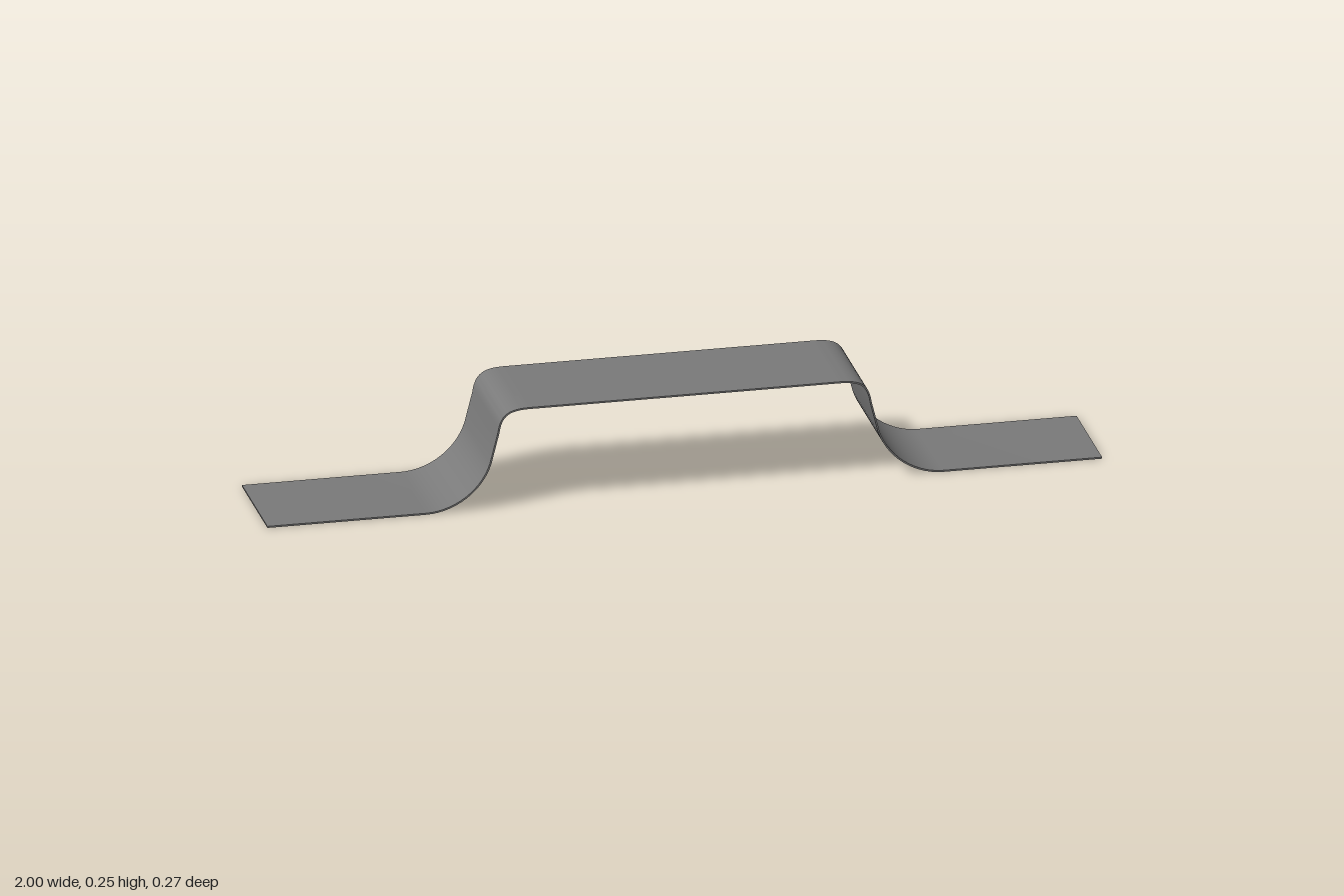
import * as THREE from 'three';
import { toCreasedNormals } from 'three/addons/utils/BufferGeometryUtils.js';

const DEPTH = 0.27;
const THICKNESS = 0.004;

// Points of a polyline shifted sideways by a distance
function offset(points, distance) {
  return points.map((p, i) => {
    const before = points[Math.max(i - 1, 0)];
    const after = points[Math.min(i + 1, points.length - 1)];
    const along = after.clone().sub(before).normalize();
    return new THREE.Vector2(p.x - along.y * distance, p.y + along.x * distance);
  });
}

export function createModel() {
  const group = new THREE.Group();
  group.name = 'strapBracket';

  // Right half of the centre line: crown, shoulder, web, foot fillet, foot
  const crownY = 0.248 - THICKNESS / 2;
  const footY = THICKNESS / 2;
  const half = new THREE.Path();
  half.moveTo(0, crownY);
  half.lineTo(0.37, crownY);
  half.bezierCurveTo(0.42, crownY, 0.44, 0.235, 0.446, 0.19);
  half.lineTo(0.465, 0.115);
  half.bezierCurveTo(0.485, 0.05, 0.55, footY, 0.62, footY);
  half.lineTo(1, footY);
  const right = half.getPoints(14);

  // Mirror to the full centre line, running from -x to +x
  const left = right.slice(1).reverse().map((p) => new THREE.Vector2(-p.x, p.y));
  const line = [...left, ...right];

  // Thin sheet: upper and lower faces joined into one outline and extruded
  const outline = new THREE.Shape([
    ...offset(line, -THICKNESS / 2),
    ...offset(line, THICKNESS / 2).reverse(),
  ]);
  const geometry = new THREE.ExtrudeGeometry(outline, { depth: DEPTH, bevelEnabled: false });
  geometry.translate(0, 0, -DEPTH / 2);

  const strip = new THREE.Mesh(
    toCreasedNormals(geometry, 0.6),
    new THREE.MeshStandardMaterial({ color: 0x7a7a7a })
  );
  strip.name = 'bentStrip';
  group.add(strip);
  return group;
}
